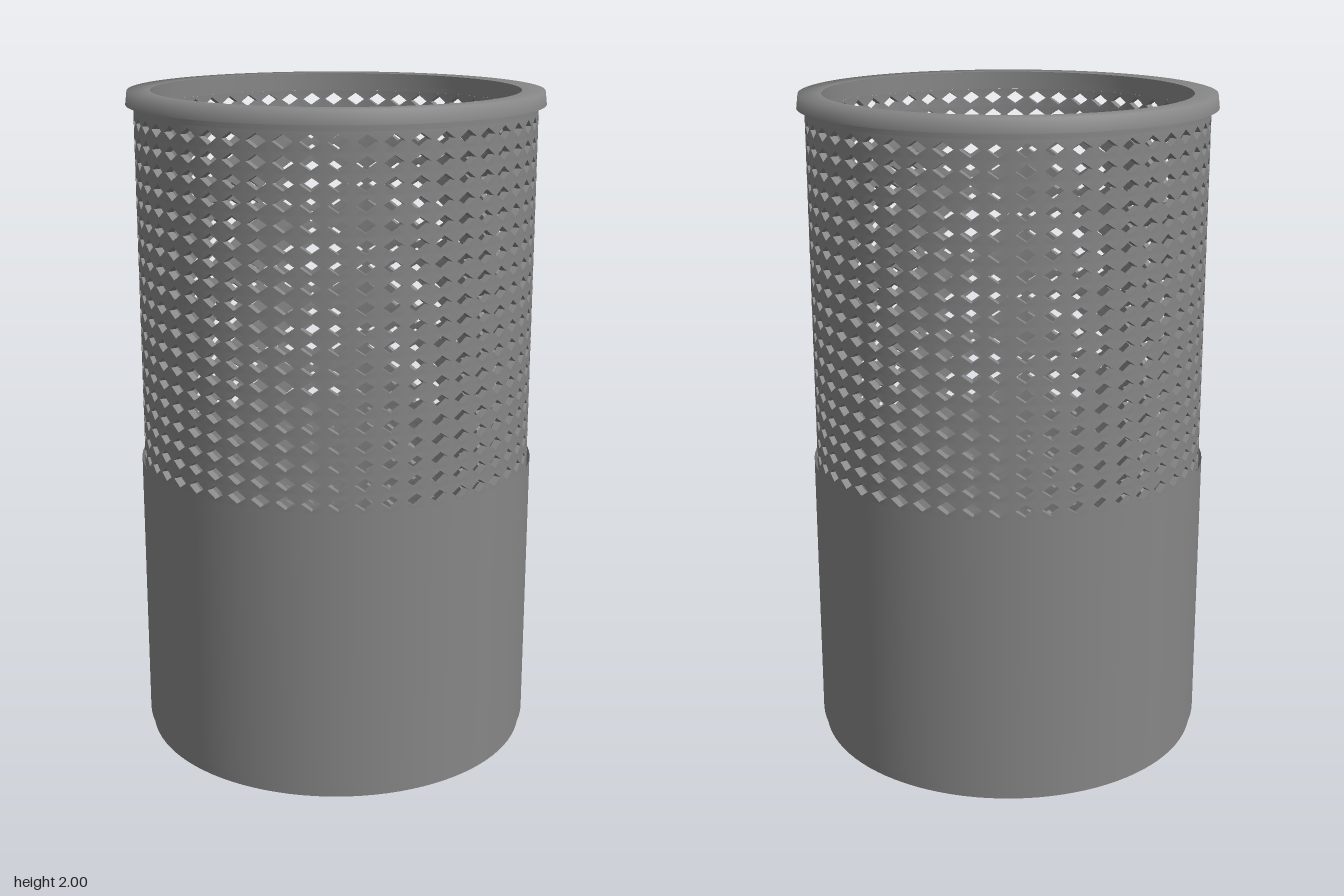
import * as THREE from 'three';
import { toCreasedNormals } from 'three/addons/utils/BufferGeometryUtils.js';

const COLS = 50, ROWS = 33, CELL = 0.0558;
const R_OUT = 0.595, R_IN = 0.572;
const MESH_TOP = 1.942, MESH_BOTTOM = MESH_TOP - ROWS * CELL;

const grey = new THREE.MeshStandardMaterial({ color: 0x868686 });
const greySheet = new THREE.MeshStandardMaterial({ color: 0x868686, side: THREE.DoubleSide });

// Profile of [radius, y] points turned about y, outer side listed upwards
function turned(name, points, crease = 0.6) {
  const profile = points.map(([r, y]) => new THREE.Vector2(r, y));
  const geometry = toCreasedNormals(new THREE.LatheGeometry(profile, 100), crease);
  const mesh = new THREE.Mesh(geometry, grey);
  mesh.name = name;
  return mesh;
}

// Cylinder wall made of cells, each with a diamond hole through it
function perforatedWall() {
  const positions = [];
  const step = (Math.PI * 2) / COLS;
  const corners = [[-0.5, -0.5], [0.5, -0.5], [0.5, 0.5], [-0.5, 0.5]];
  const diamond = [[0, -0.36], [0.4, 0], [0, 0.36], [-0.4, 0]];

  for (let col = 0; col < COLS; col++) {
    for (let row = 0; row < ROWS; row++) {
      const at = ([u, v], r) => {
        const a = (col + u) * step;
        return [r * Math.cos(a), MESH_BOTTOM + (row + 0.5 + v) * CELL, -r * Math.sin(a)];
      };
      const tri = (a, b, c) => positions.push(...a, ...b, ...c);
      for (let k = 0; k < 4; k++) {
        const c0 = corners[k], c1 = corners[(k + 1) % 4];
        const d0 = diamond[k], d1 = diamond[(k + 1) % 4];
        // outer face
        tri(at(c0, R_OUT), at(c1, R_OUT), at(d0, R_OUT));
        tri(at(c1, R_OUT), at(d1, R_OUT), at(d0, R_OUT));
        // inner face
        tri(at(c0, R_IN), at(d0, R_IN), at(c1, R_IN));
        tri(at(c1, R_IN), at(d0, R_IN), at(d1, R_IN));
        // side of the hole
        tri(at(d0, R_OUT), at(d1, R_OUT), at(d1, R_IN));
        tri(at(d0, R_OUT), at(d1, R_IN), at(d0, R_IN));
      }
    }
  }
  const geometry = new THREE.BufferGeometry();
  geometry.setAttribute('position', new THREE.Float32BufferAttribute(positions, 3));
  const mesh = new THREE.Mesh(toCreasedNormals(geometry, 0.6), grey);
  mesh.name = 'perforatedWall';
  return mesh;
}

export function createModel() {
  const group = new THREE.Group();
  group.name = 'meshCup';

  group.add(perforatedWall());

  // Solid base: underside, foot and floor
  group.add(turned('base', [
    [0, 0], [R_OUT, 0], [R_OUT, MESH_BOTTOM], [R_IN, MESH_BOTTOM], [R_IN, 0.035], [0, 0.035],
  ]));

  // Solid band joining the wall to the rim
  group.add(turned('topBand', [
    [R_IN, MESH_TOP], [R_OUT, MESH_TOP], [R_OUT, 1.97], [R_IN, 1.97], [R_IN, MESH_TOP],
  ]));

  // Thin open sleeve round the lower half
  const sleeve = new THREE.Mesh(
    new THREE.CylinderGeometry(0.604, 0.604, 0.85, 100, 1, true), greySheet);
  sleeve.name = 'sleeve';
  sleeve.position.y = 0.46;
  group.add(sleeve);

  // Flared rim, shaded softly over its outer top edge
  group.add(turned('rim', [
    [0.545, 1.96], [0.618, 1.96], [0.613, 2], [0.545, 2], [0.545, 1.96],
  ], 1.5));

  return group;
}
